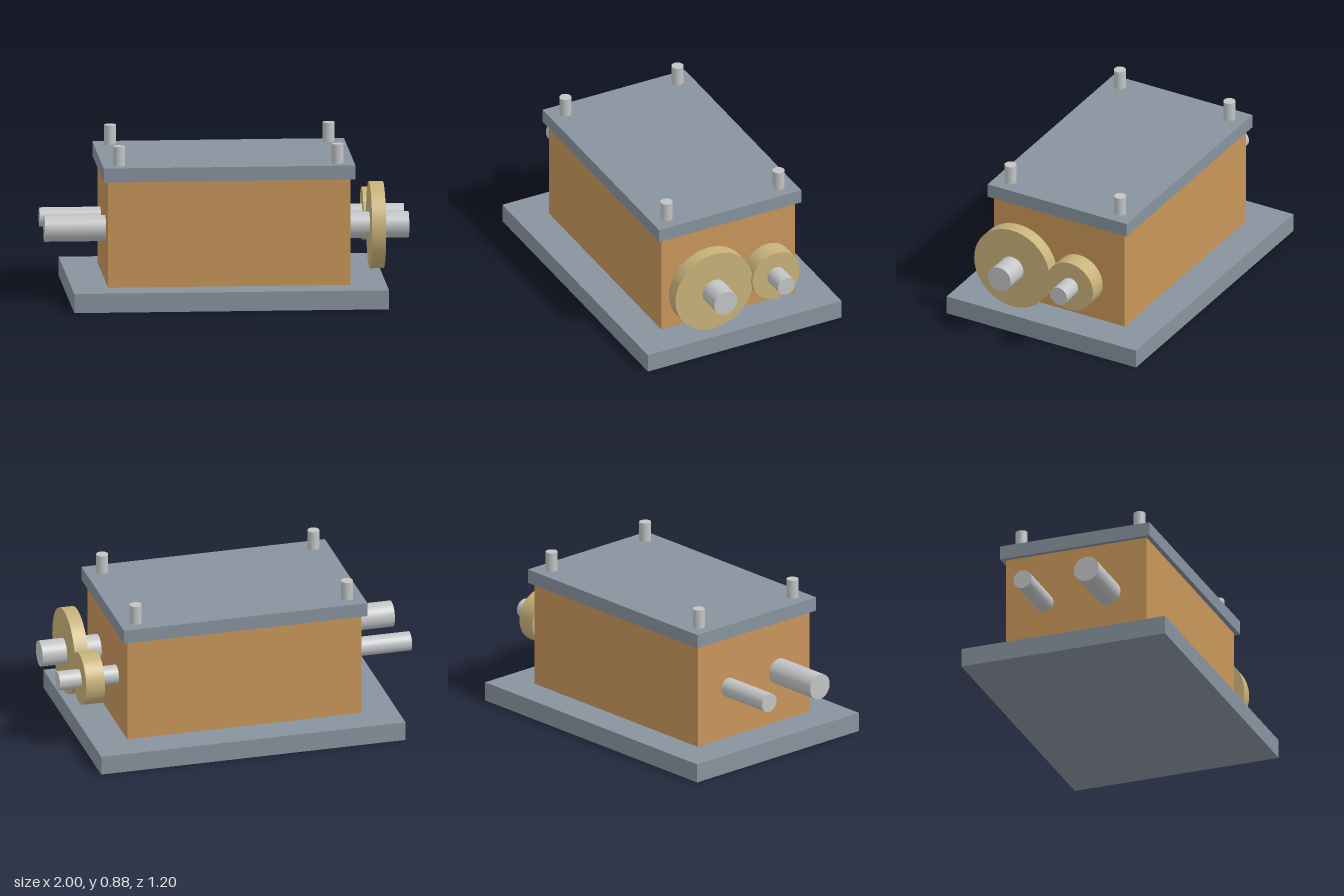
import * as THREE from 'three';

const paint = (name, color) => {
  const m = new THREE.MeshStandardMaterial({ color });
  m.name = name;
  return m;
};

export function createModel() {
  const model = new THREE.Group();
  model.name = 'gearbox';
  const slate = paint('slate grey', 0x87939e);
  const orange = paint('housing orange', 0xc8965a);
  const brass = paint('brass', 0xc8b27a);
  const steel = paint('steel', 0xc2c4c6);

  const add = (name, geometry, material, x, y, z) => {
    const mesh = new THREE.Mesh(geometry, material);
    mesh.name = name;
    mesh.position.set(x, y, z);
    model.add(mesh);
  };

  // Box centred on x and z, between two heights
  const slab = (name, w, d, y0, y1, material) =>
    add(name, new THREE.BoxGeometry(w, y1 - y0, d), material, 0, (y0 + y1) / 2, 0);

  // Round part lying along x
  const disc = (name, r, x0, x1, z, material) =>
    add(name, new THREE.CylinderGeometry(r, r, x1 - x0, 64).rotateZ(-Math.PI / 2),
      material, (x0 + x1) / 2, 0.4, z);

  // Base plate, housing and lid
  slab('basePlate', 1.728, 1.196, 0, 0.106, slate);
  slab('housing', 1.33, 0.824, 0.106, 0.696, orange);
  slab('lid', 1.382, 0.878, 0.696, 0.774, slate);

  // Shafts running through the housing, each with a gear wheel
  disc('largeShaft', 0.072, -1, 1, 0.187, steel);
  disc('smallShaft', 0.053, -1, 1, -0.187, steel);
  disc('largeGear', 0.239, 0.784, 0.861, 0.187, brass);
  disc('smallGear', 0.146, 0.77, 0.876, -0.187, brass);

  // Bolts at the lid corners
  for (const x of [-0.6, 0.6]) {
    for (const z of [-0.346, 0.346]) {
      add('lidBolt', new THREE.CylinderGeometry(0.033, 0.033, 0.107, 32), steel, x, 0.8275, z);
    }
  }
  return model;
}
